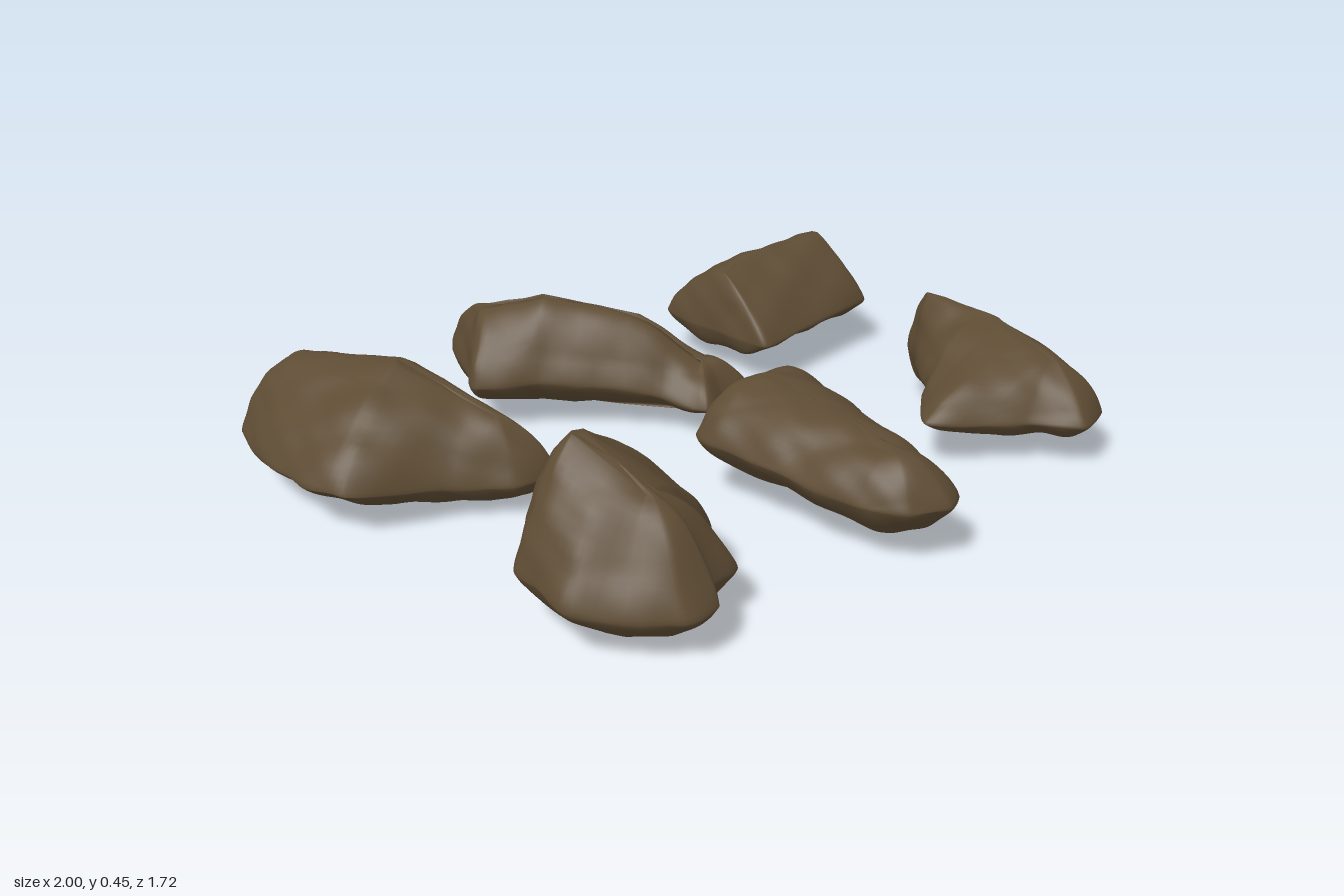
import * as THREE from 'three';
import { mergeVertices } from 'three/addons/utils/BufferGeometryUtils.js';

const COLUMNS = 112, ROWS = 40;

// Closest point on a polyline, measured in plan
function nearest(line, p) {
  let best = null, bestD = Infinity;
  for (let i = 0; i < line.length - 1; i++) {
    const a = line[i], b = line[i + 1], dx = b.x - a.x, dz = b.z - a.z;
    const t = THREE.MathUtils.clamp(((p.x - a.x) * dx + (p.z - a.z) * dz) / (dx * dx + dz * dz), 0, 1);
    const q = a.clone().lerp(b, t), d = Math.hypot(q.x - p.x, q.z - p.z);
    if (d < bestD) { bestD = d; best = q; }
  }
  return best;
}

// Smooth lumps with a few sharper folds
function roughness(x, y, z, s) {
  const fold = Math.abs(Math.sin(13 * x + 9 * y - 11 * z + s * 2.3)) - 0.6;
  return 0.006 * fold
    + 0.004 * Math.sin(19 * x + 11 * z + s) * Math.cos(21 * z - 14 * y + s * 1.7)
    + 0.003 * Math.sin(41 * x + 27 * y + s) * Math.sin(37 * z + 29 * y - s);
}

// rim: widest outline in plan; ridge: crest line; base: lowest height;
// waist: height of the rim between base and crest; full: boxiness of the upper slopes
function rockGeometry(rim, ridge, { base, waist, full, seed }) {
  const loop = new THREE.CatmullRomCurve3(rim.map(([x, z]) => new THREE.Vector3(x, 0, z)), true, 'catmullrom', 0.28);
  const crest = ridge.map(p => new THREE.Vector3(...p));
  const mean = crest.reduce((sum, p) => sum.add(p), new THREE.Vector3()).divideScalar(crest.length);
  const middle = nearest(crest, mean);
  const pos = [], index = [];

  // Rings run from under the belly, out to the rim, and in to the crest;
  // the last fifth at either end closes to a single point
  for (let i = 0; i <= ROWS; i++) {
    const u = 2 * i / ROWS - 1, up = u >= 0, reach = Math.abs(u) / 0.8;
    const t = (up ? 0.9 : 0.65) * Math.pow(Math.min(reach, 1), 1.5);
    const rise = Math.pow(1 - Math.pow(1 - t, up ? full : 2), 0.82);
    const close = Math.max(0, (Math.abs(u) - 0.8) / 0.2);
    const tip = new THREE.Vector3(middle.x, up ? middle.y : base, middle.z);
    for (let j = 0; j < COLUMNS; j++) {
      const p = loop.getPoint(j / COLUMNS), q = nearest(crest, p);
      const rimY = base + (q.y - base) * waist, endY = up ? q.y : base + 0.015;
      const v = new THREE.Vector3(p.x + (q.x - p.x) * t, rimY + (endY - rimY) * rise, p.z + (q.z - p.z) * t);
      pos.push(...v.lerp(tip, close));
      if (i < ROWS) {
        const n = (j + 1) % COLUMNS, a = i * COLUMNS + j, b = i * COLUMNS + n;
        index.push(a, a + COLUMNS, b, b, a + COLUMNS, b + COLUMNS);
      }
    }
  }
  let geo = new THREE.BufferGeometry();
  geo.setAttribute('position', new THREE.Float32BufferAttribute(pos, 3));
  geo.setIndex(index);
  geo = mergeVertices(geo, 1e-4);
  geo.computeVertexNormals();

  // Weather the surface along its normals
  const P = geo.attributes.position, N = geo.attributes.normal;
  for (let i = 0; i < P.count; i++) {
    const x = P.getX(i), y = P.getY(i), z = P.getZ(i), d = roughness(x, y, z, seed);
    P.setXYZ(i, x + N.getX(i) * d, Math.max(0, y + N.getY(i) * d), z + N.getZ(i) * d);
  }
  geo.computeVertexNormals();
  return geo;
}

export function createModel() {
  const group = new THREE.Group();
  group.name = 'rocks';
  const stone = new THREE.MeshStandardMaterial({ color: 0x5e4c34 });
  stone.name = 'brownStone';

  function addRock(name, rim, ridge, form) {
    const mesh = new THREE.Mesh(rockGeometry(rim, ridge, form), stone);
    mesh.name = name;
    group.add(mesh);
  }

  // Back row
  addRock('longRock',
    [[-0.98, -0.61], [-0.92, -0.8], [-0.8, -0.86], [-0.68, -0.845], [-0.6, -0.76], [-0.5, -0.45],
      [-0.45, -0.13], [-0.46, -0.04], [-0.58, -0.065], [-0.72, -0.165], [-0.96, -0.26], [-0.995, -0.4]],
    [[-0.76, 0.34, -0.72], [-0.65, 0.365, -0.42], [-0.55, 0.26, -0.17]],
    { base: 0.01, waist: 0.36, full: 1.8, seed: 1 });
  addRock('slantedRock',
    [[-0.19, -0.85], [-0.11, -0.76], [0.14, -0.45], [0.22, -0.33], [0.315, -0.21], [0.3, -0.085],
      [0.2, -0.08], [0.1, -0.055], [0.045, -0.18], [-0.18, -0.43], [-0.33, -0.55], [-0.25, -0.69]],
    [[-0.18, 0.33, -0.68], [-0.08, 0.37, -0.53], [0.09, 0.32, -0.32], [0.19, 0.2, -0.17]],
    { base: 0.045, waist: 0.35, full: 2, seed: 2 });
  addRock('wedgeRock',
    [[0.48, -0.53], [0.51, -0.64], [0.62, -0.69], [0.81, -0.68], [0.9, -0.635], [0.93, -0.5],
      [0.98, -0.4], [0.995, -0.235], [0.73, -0.21], [0.5, -0.185], [0.475, -0.24]],
    [[0.53, 0.33, -0.43], [0.95, 0.36, -0.42]],
    { base: 0.06, waist: 0.32, full: 1.3, seed: 3 });

  // Front row
  addRock('peakedRock',
    [[-0.915, 0.35], [-0.8, 0.26], [-0.61, 0.315], [-0.45, 0.31], [-0.405, 0.36], [-0.41, 0.47],
      [-0.5, 0.54], [-0.51, 0.64], [-0.62, 0.665], [-0.66, 0.74], [-0.77, 0.73], [-0.93, 0.54]],
    [[-0.75, 0.46, 0.38], [-0.7, 0.36, 0.56]],
    { base: 0.005, waist: 0.33, full: 1.5, seed: 4 });
  addRock('bluntRock',
    [[-0.19, 0.25], [-0.165, 0.165], [0, 0.125], [0.245, 0.19], [0.2, 0.41], [0.12, 0.65],
      [0.085, 0.81], [0, 0.86], [-0.1, 0.81], [-0.155, 0.7], [-0.175, 0.46]],
    [[0.01, 0.33, 0.25], [0, 0.31, 0.45], [-0.03, 0.28, 0.7]],
    { base: 0.05, waist: 0.5, full: 2.3, seed: 5 });
  addRock('pointedRock',
    [[0.785, 0.115], [0.8, 0.25], [0.87, 0.4], [0.9, 0.61], [0.81, 0.77], [0.68, 0.795],
      [0.59, 0.67], [0.385, 0.485], [0.57, 0.33], [0.72, 0.18]],
    [[0.765, 0.35, 0.19], [0.78, 0.33, 0.42], [0.74, 0.28, 0.64]],
    { base: 0.045, waist: 0.38, full: 1.5, seed: 6 });
  return group;
}
